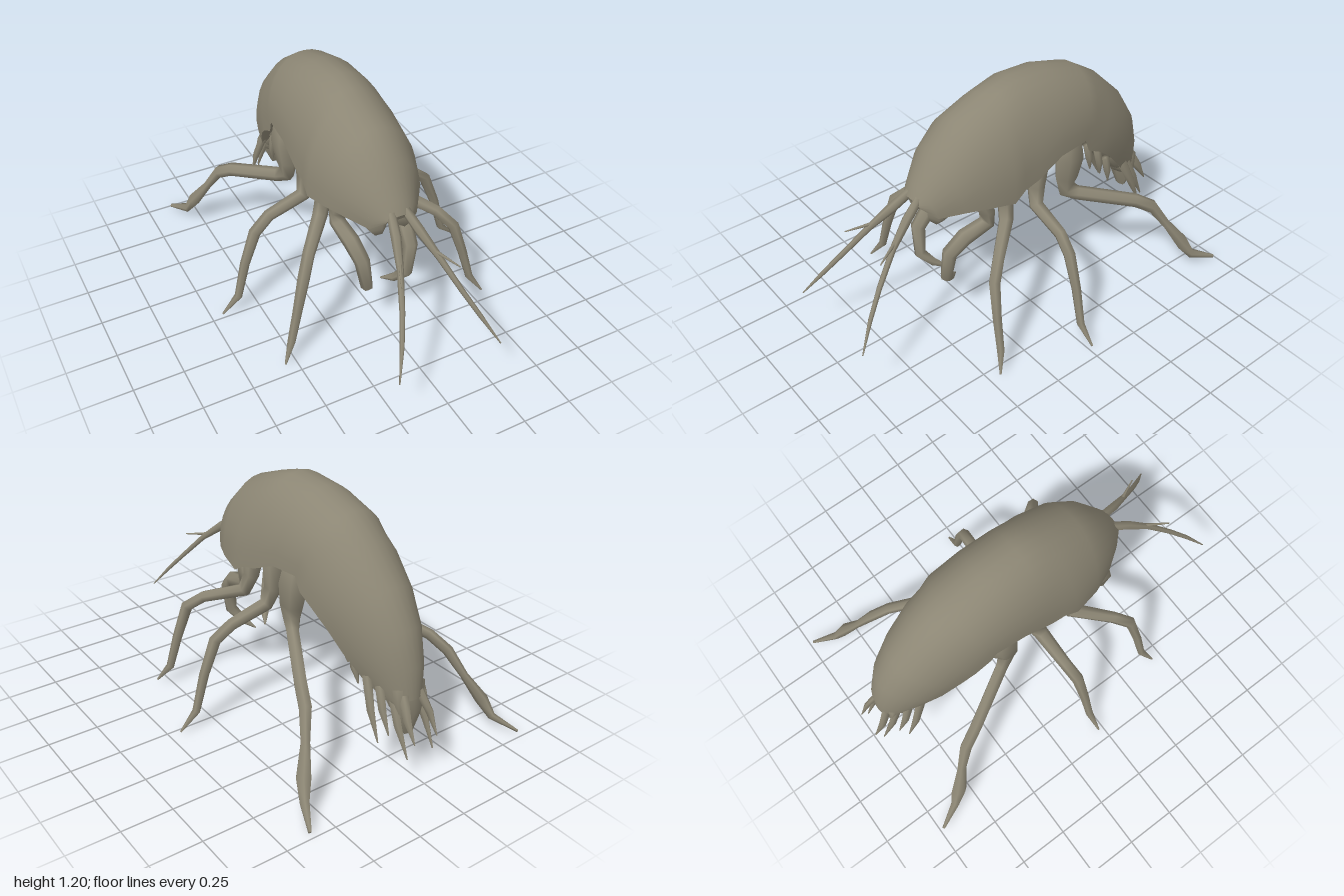
import * as THREE from 'three';

export function createModel() {
  const root = new THREE.Group();
  const chitin = new THREE.MeshStandardMaterial({ color: 0x8c8674, side: THREE.DoubleSide });
  chitin.name = 'grey brown chitin';
  const V = (a) => new THREE.Vector3(...a);

  // Skin a list of equally long point rows; closed rows wrap around
  function skin(name, rows, closed) {
    const n = rows[0].length, index = [];
    for (let i = 0; i < rows.length - 1; i++) {
      for (let j = 0; j < (closed ? n : n - 1); j++) {
        const k = (j + 1) % n, a = i * n, b = a + n;
        index.push(a + j, a + k, b + j, a + k, b + k, b + j);
      }
    }
    const g = new THREE.BufferGeometry().setFromPoints(rows.flat());
    g.setIndex(index);
    g.computeVertexNormals();
    const mesh = new THREE.Mesh(g, chitin);
    mesh.name = name;
    root.add(mesh);
  }

  // Tapered limb through points [x, y, z, radius]; flat thins it sideways
  function limb(name, points, flat = 1, sides = 6) {
    const p = points.map((q) => V(q.slice(0, 3)));
    let normal = new THREE.Vector3(0.05, 0.1, 1);
    const rows = p.map((c, i) => {
      const before = c.clone().sub(p[Math.max(i - 1, 0)]).normalize();
      const after = p[Math.min(i + 1, p.length - 1)].clone().sub(c).normalize();
      const t = before.add(after).normalize();
      normal = normal.clone().addScaledVector(t, -normal.dot(t)).normalize();
      const side = t.clone().cross(normal);
      return Array.from({ length: sides }, (_, j) => {
        const a = (j / sides) * Math.PI * 2, r = points[i][3];
        return c.clone().addScaledVector(normal, Math.cos(a) * r)
          .addScaledVector(side, Math.sin(a) * r * flat);
      });
    });
    rows.unshift(rows[0].map(() => p[0].clone()));
    rows.push(rows[0].map(() => p[p.length - 1].clone()));
    skin(name, rows, true);
  }

  function pair(name, points, flat) {
    limb('left' + name, points, flat);
    limb('right' + name, points.map(([x, y, z, r]) => [-x, y, z, r]), flat);
  }

  // Arched shell sections: ridge z, ridge y, edge z, edge y, half width
  const sections = [
    [0.53, 0.77, 0.52, 0.745, 0.07], [0.50, 0.83, 0.46, 0.69, 0.125],
    [0.40, 0.98, 0.36, 0.72, 0.20], [0.28, 1.09, 0.25, 0.72, 0.245],
    [0.10, 1.16, 0.12, 0.70, 0.268], [0.05, 1.177, 0.05, 0.74, 0.258],
    [-0.05, 1.205, -0.03, 0.76, 0.257], [-0.25, 1.19, -0.18, 0.83, 0.25],
    [-0.45, 1.13, -0.34, 0.84, 0.24], [-0.52, 1.085, -0.37, 0.77, 0.235],
    [-0.60, 1.03, -0.46, 0.72, 0.23], [-0.75, 0.88, -0.54, 0.65, 0.21],
    [-0.85, 0.72, -0.63, 0.55, 0.18], [-0.90, 0.55, -0.71, 0.46, 0.14],
    [-0.91, 0.40, -0.81, 0.38, 0.09],
  ];
  const arch = (f) => sections.map(([tz, ty, lz, ly, w]) =>
    Array.from({ length: 17 }, (_, j) => {
      const a = (j / 16 - 0.5) * Math.PI;
      const h = f(Math.cos(a));
      return new THREE.Vector3(w * Math.sin(a), ly + (ty - ly) * h, lz + (tz - lz) * h);
    }));
  const shell = arch((h) => h);
  skin('shell', shell, false);
  skin('underside', arch((h) => 0.14 * h), false);

  // Close the tips of the shell
  const ends = { headTip: shell[0], tailTip: shell[shell.length - 1] };
  for (const [name, row] of Object.entries(ends)) {
    const c = row[0].clone().add(row[16]).multiplyScalar(0.5);
    skin(name, [row.map((q) => q.clone()), row.map(() => c.clone())], false);
  }

  // Segmented belly under the abdomen, ending in a tapered tail plate
  const belly = [[0.74, -0.30, 0.12], [0.725, -0.46, 0.12], [0.64, -0.58, 0.115],
    [0.53, -0.68, 0.11], [0.42, -0.77, 0.10], [0.35, -0.83, 0.08]];
  for (let i = 0; i < belly.length - 1; i++) {
    const [y0, z0, r0] = belly[i], [y1, z1, r1] = belly[i + 1];
    limb('bellySegment', [[0, y0, z0, r0 * 0.36], [0, y1, z1, r1 * 0.44]], 2.4, 8);
  }
  limb('tailPlate', [[0, 0.45, -0.85, 0.05], [0, 0.32, -0.865, 0.042], [0, 0.21, -0.87, 0.015]], 2);

  // Walking legs
  pair('RearLeg', [[0.19, 0.87, -0.28, 0.07], [0.2, 0.76, -0.275, 0.088], [0.2, 0.65, -0.26, 0.07],
    [0.2, 0.575, -0.26, 0.05], [0.23, 0.54, -0.31, 0.037], [0.38, 0.45, -0.58, 0.036],
    [0.42, 0.39, -0.67, 0.036], [0.47, 0.27, -0.74, 0.026], [0.53, 0.15, -0.81, 0.042],
    [0.56, 0.065, -0.86, 0.026], [0.62, 0.02, -0.98, 0.009]], 0.7);
  pair('MiddleLeg', [[0.18, 0.80, -0.09, 0.055], [0.18, 0.66, -0.08, 0.045], [0.21, 0.57, -0.06, 0.037],
    [0.40, 0.515, -0.05, 0.03], [0.485, 0.45, -0.035, 0.03], [0.55, 0.28, -0.03, 0.024],
    [0.60, 0.09, -0.025, 0.02], [0.69, 0.005, -0.025, 0.005]]);
  pair('FrontLeg', [[0.17, 0.76, 0.1, 0.05], [0.18, 0.65, 0.11, 0.04], [0.21, 0.57, 0.13, 0.037],
    [0.35, 0.505, 0.29, 0.03], [0.41, 0.44, 0.36, 0.03], [0.46, 0.27, 0.385, 0.024],
    [0.505, 0.10, 0.40, 0.02], [0.56, 0.015, 0.445, 0.005]]);

  // Grasping legs folded under the head
  pair('GraspingLeg', [[0.14, 0.75, 0.25, 0.045], [0.15, 0.63, 0.20, 0.042], [0.15, 0.56, 0.20, 0.04],
    [0.145, 0.53, 0.33, 0.042], [0.13, 0.46, 0.41, 0.038], [0.11, 0.31, 0.42, 0.03],
    [0.07, 0.25, 0.37, 0.022], [0.03, 0.215, 0.31, 0.004]]);

  // Antennae with a short side branch, and mouthparts
  pair('Antenna', [[0.03, 0.79, 0.48, 0.022], [0.06, 0.71, 0.59, 0.024], [0.10, 0.62, 0.70, 0.016],
    [0.155, 0.49, 0.82, 0.013], [0.205, 0.385, 0.91, 0.011], [0.265, 0.265, 1.0, 0.003]]);
  pair('AntennaBranch', [[0.085, 0.645, 0.67, 0.01], [0.15, 0.615, 0.80, 0.003]]);
  pair('Mouthpart', [[0.07, 0.75, 0.42, 0.07], [0.075, 0.68, 0.43, 0.055], [0.06, 0.64, 0.43, 0.035]]);

  // Swimming limbs below the abdomen
  [[0.12, 0.70, -0.47], [0.115, 0.63, -0.55], [0.11, 0.55, -0.62]].forEach(([x, y, z]) =>
    pair('SwimmingLimb', [[x, y, z, 0.022], [x + 0.01, y - 0.08, z - 0.01, 0.019], [x, y - 0.16, z - 0.03, 0.004]]));

  // Tail spikes
  [[0.13, 0.48, -0.73, 0.155, 0.20, -0.85], [0.06, 0.42, -0.82, 0.075, 0.14, -0.96],
    [0.045, 0.42, -0.88, 0.065, 0.23, -0.99], [0.10, 0.46, -0.78, 0.12, 0.24, -0.88]]
    .forEach(([x, y, z, u, v, w]) => pair('TailSpike',
      [[x, y, z, 0.03], [(x + u) / 2 + 0.01, (y + v) / 2, (z + w) / 2, 0.024], [u, v, w, 0.004]], 0.6));

  return root;
}
